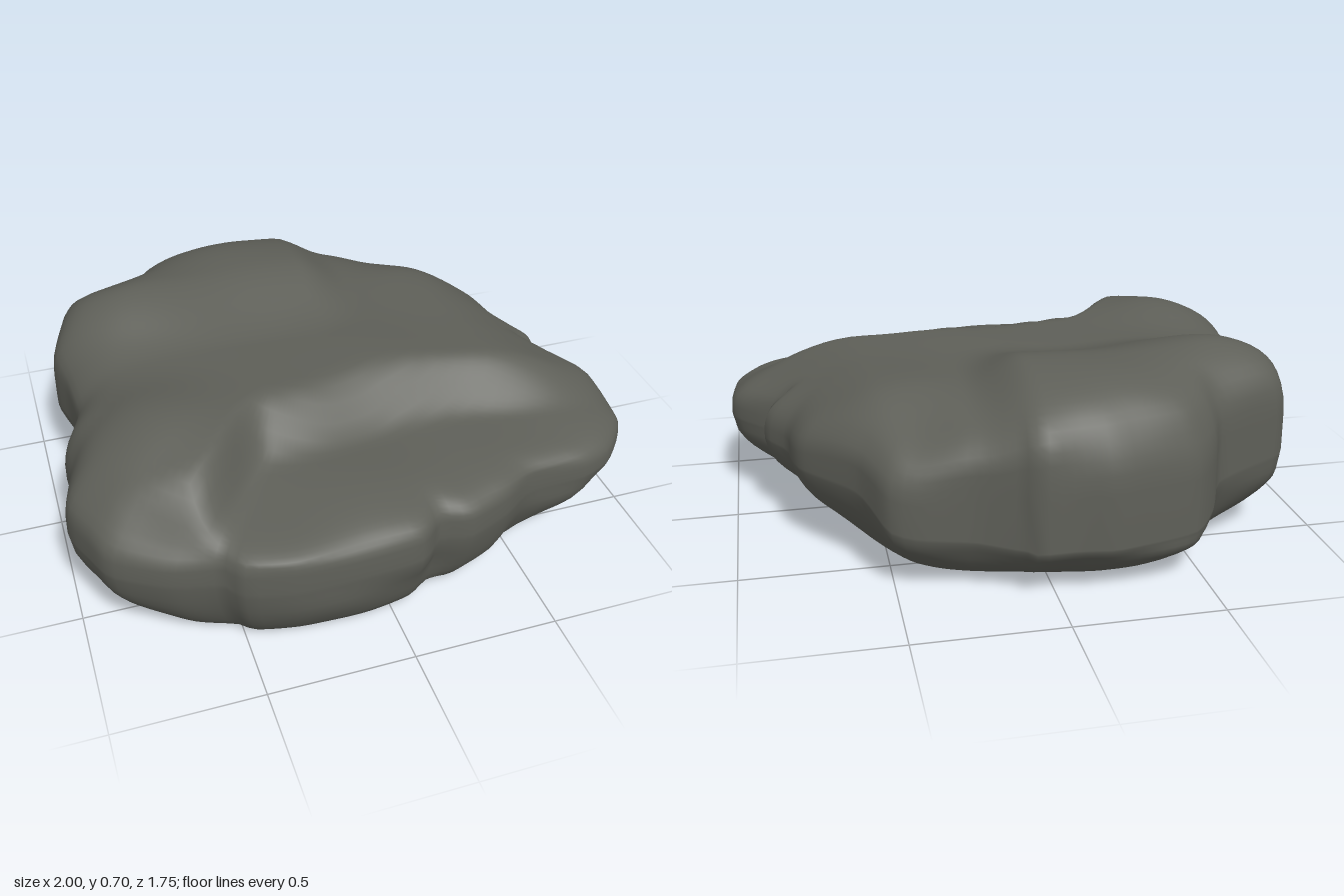
import * as THREE from 'three';

// Widest outline of the boulder as x, z pairs, running front -> left -> back -> right
const OUTLINE = [
  -0.36, 0.87, -0.15, 0.87, 0.07, 0.855, 0.16, 0.78, 0.26, 0.80, 0.42, 0.74, 0.54, 0.67, 0.75, 0.66,
  0.87, 0.61, 0.98, 0.47, 0.995, 0.22, 0.90, 0.09, 0.82, 0.01, 0.89, -0.02, 0.81, -0.16, 0.80, -0.24,
  0.77, -0.34, 0.60, -0.55, 0.52, -0.70, 0.43, -0.74, 0.25, -0.77, 0.10, -0.83, 0.07, -0.86, -0.06, -0.86,
  -0.17, -0.875, -0.25, -0.86, -0.46, -0.81, -0.55, -0.72, -0.60, -0.63, -0.84, -0.54, -0.88, -0.48,
  -0.93, -0.33, -0.90, -0.20, -0.89, -0.03, -0.96, 0.12, -0.96, 0.24, -1.0, 0.42, -0.95, 0.55,
  -0.90, 0.64, -0.73, 0.73, -0.57, 0.77, -0.52, 0.83,
];

// 0 at a, 1 at b, eased; a may be larger than b
function ramp(v, a, b) {
  const t = THREE.MathUtils.clamp((v - a) / (b - a), 0, 1);
  return t * t * (3 - 2 * t);
}

// Soft round bump, 1 at its centre
const bump = (x, z, cx, cz, rx, rz) => Math.exp(-(((x - cx) / rx) ** 2) - ((z - cz) / rz) ** 2);

// Gentle uneven surface
const lumps = (x, y, z) =>
  0.5 * Math.sin(7 * x + 3 * z + 6 * y) + 0.3 * Math.sin(11 * z - 5 * x + 9 * y + 1) + 0.3 * Math.sin(13 * x + 14 * y - 6 * z);

// Height of the top: low front ledge, step up to the plateau, raised back right
function topHeight(x, z) {
  const stepZ = 0.33 + 0.35 * ramp(x, -0.3, -0.62) - 0.03 * Math.sin(6 * x);
  const step = ramp(z, stepZ + 0.1, stepZ - 0.12);
  let h = 0.445 + 0.15 * step;
  h += 0.05 * bump(x, z, -0.65, 0.3, 0.3, 0.25);
  h += 0.095 * ramp(z, -0.05, -0.45) * ramp(x, 0.24, 0.03);
  h += 0.045 * bump(x, z, -0.75, -0.42, 0.25, 0.3);
  h -= 0.1 * ramp(x, 0.5, 0.98) * step;
  h -= 0.07 * ramp(z, -0.35, -0.75) * ramp(x, 0.2, 0.45);
  return h + 0.01 * lumps(x, 0, z);
}

// Height of the broadest part of the wall
const waistHeight = (x, z) => 0.31 - 0.13 * ramp(z, -0.5, -0.85) - 0.03 * ramp(z, 0.5, 0.85);

// Upper surface height at outline fraction s: steep at the front and back, rounder at the sides
function upperHeight(p, s, x, z) {
  const waist = waistHeight(p.x, p.z);
  const steep = ramp(p.z, 0.6, 0.82) + 0.7 * ramp(p.z, -0.2, -0.55);
  const shoulder = Math.pow(1 - Math.pow(s, 5 + steep), 1 / (3 + 2 * steep));
  return waist + (topHeight(x, z) - waist) * shoulder;
}

// Underside height: sloping flank, then a nearly flat base
function lowerHeight(p, s, x, z) {
  const waist = waistHeight(p.x, p.z);
  const flat = 0.79 - 0.11 * ramp(p.x, 0.5, 0.95) + 0.1 * ramp(p.z, 0.5, 0.8) + 0.02 * ramp(p.z, -0.5, -0.8);
  const u = THREE.MathUtils.clamp((s - flat) / (1 - flat), 0, 1);
  const base = 0.022 - 0.022 * ramp(x, 0.1, -0.55) * ramp(z, 0.0, 0.5);
  return waist - (waist - base) * Math.pow(1 - Math.pow(u, 1.45), 1 / 1.45);
}

// Outline and a softened copy of it, so that notches fade away from the rim
function outlines(count) {
  const pts = [];
  for (let i = 0; i < OUTLINE.length; i += 2) pts.push(new THREE.Vector3(OUTLINE[i], 0, OUTLINE[i + 1]));
  const edge = new THREE.CatmullRomCurve3(pts, true, 'catmullrom', 0.3).getSpacedPoints(count).slice(0, count);
  const soft = edge.map((_, i) => {
    const mean = new THREE.Vector3();
    for (let k = -6; k <= 6; k++) mean.add(edge[(i + k + count) % count]);
    return mean.divideScalar(13);
  });
  return { edge, soft };
}

function rockGeometry() {
  const N = 160, R = 26;
  const { edge, soft } = outlines(N);

  // Rings run from the top centre over the rim to the base centre, closer together near the rim
  const rings = [];
  for (let i = 1; i <= R; i++) rings.push([upperHeight, Math.sin((i / R) * Math.PI / 2)]);
  for (let i = R - 1; i >= 1; i--) rings.push([lowerHeight, Math.sin((i / R) * Math.PI / 2)]);

  const pos = [0, topHeight(0, 0), 0];
  for (const [height, s] of rings) {
    for (let j = 0; j < N; j++) {
      const p = soft[j].clone().lerp(edge[j], ramp(s, 0.8, 1));
      const x = p.x * s, z = p.z * s, y = height(p, s, x, z);
      // Hollows in the walls, fading out on the top, the base and the silhouette
      const k = 1 + 0.02 * lumps(x, y, z) * ramp(s, 0.7, 0.9) * ramp(s, 1, 0.97);
      pos.push(x * k, y, z * k);
    }
  }
  pos.push(0, 0.02, 0);

  const idx = [];
  const last = rings.length * N + 1;
  const at = (r, j) => 1 + r * N + (j % N);
  for (let j = 0; j < N; j++) {
    idx.push(0, at(0, j), at(0, j + 1));
    for (let r = 0; r < rings.length - 1; r++) {
      const a = at(r, j), b = at(r + 1, j), c = at(r + 1, j + 1), d = at(r, j + 1);
      idx.push(a, b, c, a, c, d);
    }
    idx.push(at(rings.length - 1, j), last, at(rings.length - 1, j + 1));
  }
  const g = new THREE.BufferGeometry();
  g.setAttribute('position', new THREE.Float32BufferAttribute(pos, 3));
  g.setIndex(idx);
  g.computeVertexNormals();
  return g;
}

export function createModel() {
  const group = new THREE.Group();
  group.name = 'boulder';
  const stone = new THREE.MeshStandardMaterial({ color: 0x5e5f58 });
  stone.name = 'dark grey stone';
  const rock = new THREE.Mesh(rockGeometry(), stone);
  rock.name = 'rock';
  group.add(rock);
  return group;
}
